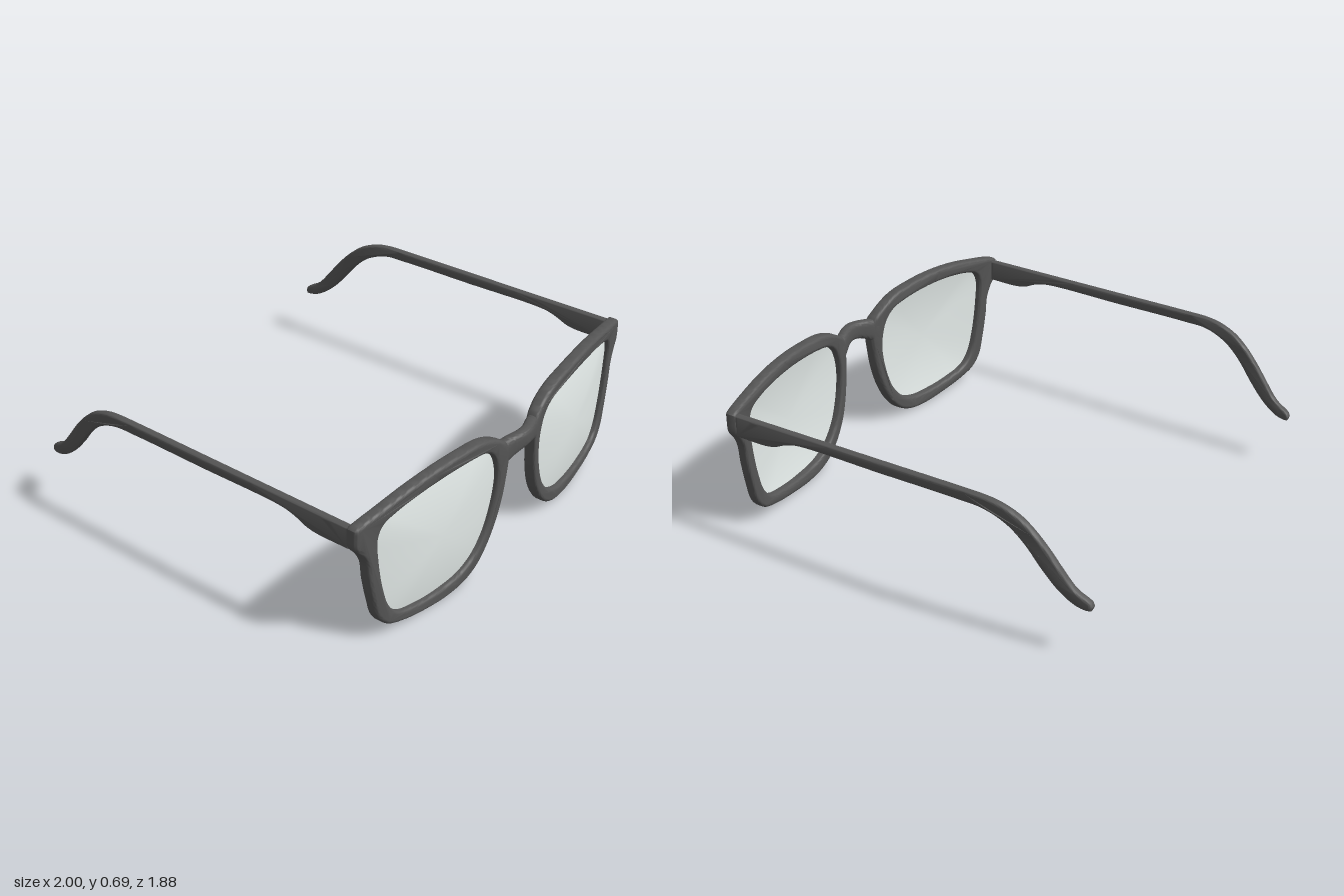
import * as THREE from 'three';
import { mergeVertices, toCreasedNormals } from 'three/addons/utils/BufferGeometryUtils.js';

const frameMat = new THREE.MeshStandardMaterial({ color: 0x555555 });
const lensMat = new THREE.MeshStandardMaterial({ color: 0xe4ebe9, side: THREE.DoubleSide });

// Outer edge of one rim with its end piece, clockwise from the bridge
const rimOutline = [
  [0.1, 0.5], [0.1, 0.555], [0.118, 0.594], [0.145, 0.615], [0.2, 0.647], [0.28, 0.674],
  [0.41, 0.687], [0.545, 0.69], [0.706, 0.679], [0.866, 0.652], [0.975, 0.629], [0.996, 0.62],
  [0.998, 0.595], [0.995, 0.53], [0.963, 0.487], [0.936, 0.43], [0.925, 0.342], [0.898, 0.21],
  [0.874, 0.128], [0.824, 0.07], [0.733, 0.037], [0.6, 0.014], [0.465, 0.004], [0.36, 0.016],
  [0.278, 0.053], [0.214, 0.118], [0.16, 0.21], [0.123, 0.326], [0.107, 0.43],
];
// Opening for the lens, clockwise
const opening = [
  [0.162, 0.45], [0.174, 0.515], [0.198, 0.565], [0.25, 0.604], [0.33, 0.62], [0.49, 0.631],
  [0.65, 0.626], [0.786, 0.606], [0.856, 0.58], [0.882, 0.53], [0.877, 0.42], [0.85, 0.262],
  [0.813, 0.155], [0.76, 0.1], [0.65, 0.073], [0.52, 0.064], [0.385, 0.075], [0.294, 0.118],
  [0.225, 0.198], [0.187, 0.289], [0.166, 0.38],
];
// Side profile of a temple arm as (z, y)
const templeProfile = [
  [0.755, 0.615], [0.4, 0.615], [0, 0.615], [-0.36, 0.615], [-0.47, 0.613], [-0.54, 0.602],
  [-0.62, 0.57], [-0.68, 0.525], [-0.75, 0.45], [-0.81, 0.372], [-0.87, 0.3], [-0.94, 0.254],
  [-0.94, 0.226], [-0.886, 0.229], [-0.81, 0.275], [-0.733, 0.356], [-0.656, 0.453], [-0.58, 0.519],
  [-0.478, 0.56], [-0.36, 0.566], [0, 0.566], [0.427, 0.565], [0.49, 0.55], [0.55, 0.524],
  [0.6, 0.515], [0.755, 0.515],
];

// Smooth curve through a few points, evenly sampled
function smoothPoints(pts, closed, count) {
  const curve = new THREE.CatmullRomCurve3(
    pts.map(([x, y]) => new THREE.Vector3(x, y, 0)), closed, 'centripetal');
  curve.arcLengthDivisions = 1000;
  const out = curve.getSpacedPoints(count).map((p) => new THREE.Vector2(p.x, p.y));
  return closed ? out.slice(0, -1) : out;
}

// Wrap of the front: outer and inner faces, with a forward step at the bridge
const bridgeStep = (x) => Math.exp(-((x / 0.1) ** 2));
const frontZ = (x) => 0.905 - 0.105 * x * x + 0.036 * bridgeStep(x);
const backZ = (x) => 0.845 - 0.1 * x * x + 0.043 * bridgeStep(x);
const wrapZ = (x, t) => THREE.MathUtils.lerp(backZ(x), frontZ(x), t);

// Places each vertex by a rule and drops the old normals
function reshape(geo, rule) {
  const pos = geo.attributes.position;
  for (let i = 0; i < pos.count; i++) {
    pos.setXYZ(i, ...rule(pos.getX(i), pos.getY(i), pos.getZ(i)));
  }
  geo.deleteAttribute('uv');
  geo.deleteAttribute('normal');
  return toCreasedNormals(mergeVertices(geo, 1e-5), 0.7);
}

// Bevelled plate of unit depth, bent by a rule
function bentPlate(shape, bevel, bevelDepth, rule) {
  const geo = new THREE.ExtrudeGeometry(shape, {
    depth: 1 - 2 * bevelDepth, bevelThickness: bevelDepth, bevelSize: bevel,
    bevelOffset: -bevel, bevelSegments: 4, steps: 1,
  });
  geo.translate(0, 0, bevelDepth);
  return reshape(geo, rule);
}

function rimGeometry() {
  // counter-clockwise outline round a clockwise hole
  const shape = new THREE.Shape(smoothPoints(rimOutline, true, 190).reverse());
  shape.holes.push(new THREE.Path(smoothPoints(opening, true, 150)));
  return bentPlate(shape, 0.015, 0.26, (x, y, t) => [x, y, wrapZ(x, t)]);
}

// Arched bar with a rounded section, its ends buried in the rims
function bridgeGeometry() {
  const geo = new THREE.CylinderGeometry(1, 1, 0.28, 32, 40, true);
  geo.rotateZ(-Math.PI / 2);
  const squared = (c) => 0.5 + 0.5 * Math.sign(c) * Math.abs(c) ** 0.6;
  return reshape(geo, (x, v, w) => {
    const top = 0.605 - 0.9 * x * x, bottom = 0.524 - 3.5 * x * x;
    return [x, THREE.MathUtils.lerp(bottom, top, squared(v)), wrapZ(x, squared(w))];
  });
}

function templeGeometry() {
  const profile = templeProfile.map(([z, y]) => [-z, y]);
  const shape = new THREE.Shape(smoothPoints(profile, false, 190));
  // the arm leans inwards, more so behind the ear
  const centreX = (z) => 0.974 - 0.016 * (0.75 - z) - 0.11 * Math.max(0, -0.45 - z) ** 1.35;
  return bentPlate(shape, 0.01, 0.3, (a, y, t) => [centreX(-a) + (t - 0.5) * 0.036, y, -a]);
}

// Domed lens from rings shrinking towards its centre
function lensGeometry() {
  const edge = smoothPoints(opening, true, 96);
  const n = edge.length, rings = 12, cx = 0.52, cy = 0.35;
  const verts = [], index = [];
  for (let r = 0; r <= rings; r++) {
    const s = r / rings;
    for (const p of edge) {
      const x = cx + (p.x - cx) * s * 1.03, y = cy + (p.y - cy) * s * 1.03;
      verts.push(x, y, frontZ(x) - 0.026 + 0.025 * (1 - s * s));
    }
  }
  for (let r = 0; r < rings; r++) {
    for (let i = 0; i < n; i++) {
      const a = r * n + i, b = r * n + ((i + 1) % n);
      index.push(a, b + n, a + n);
      if (r > 0) index.push(a, b, b + n);
    }
  }
  const geo = new THREE.BufferGeometry();
  geo.setAttribute('position', new THREE.Float32BufferAttribute(verts, 3));
  geo.setIndex(index);
  const merged = mergeVertices(geo, 1e-5);
  merged.computeVertexNormals();
  return merged;
}

export function createModel() {
  const group = new THREE.Group();
  group.name = 'eyeglasses';
  const add = (name, geo, mat, side = 1) => {
    const mesh = new THREE.Mesh(geo, mat);
    mesh.name = name;
    mesh.scale.x = side;
    group.add(mesh);
  };

  add('bridge', bridgeGeometry(), frameMat);
  const rim = rimGeometry(), lens = lensGeometry(), temple = templeGeometry();
  for (const [label, side] of [['left', 1], ['right', -1]]) {
    add(label + 'Rim', rim, frameMat, side);
    add(label + 'Lens', lens, lensMat, side);
    add(label + 'Temple', temple, frameMat, side);
  }
  return group;
}
